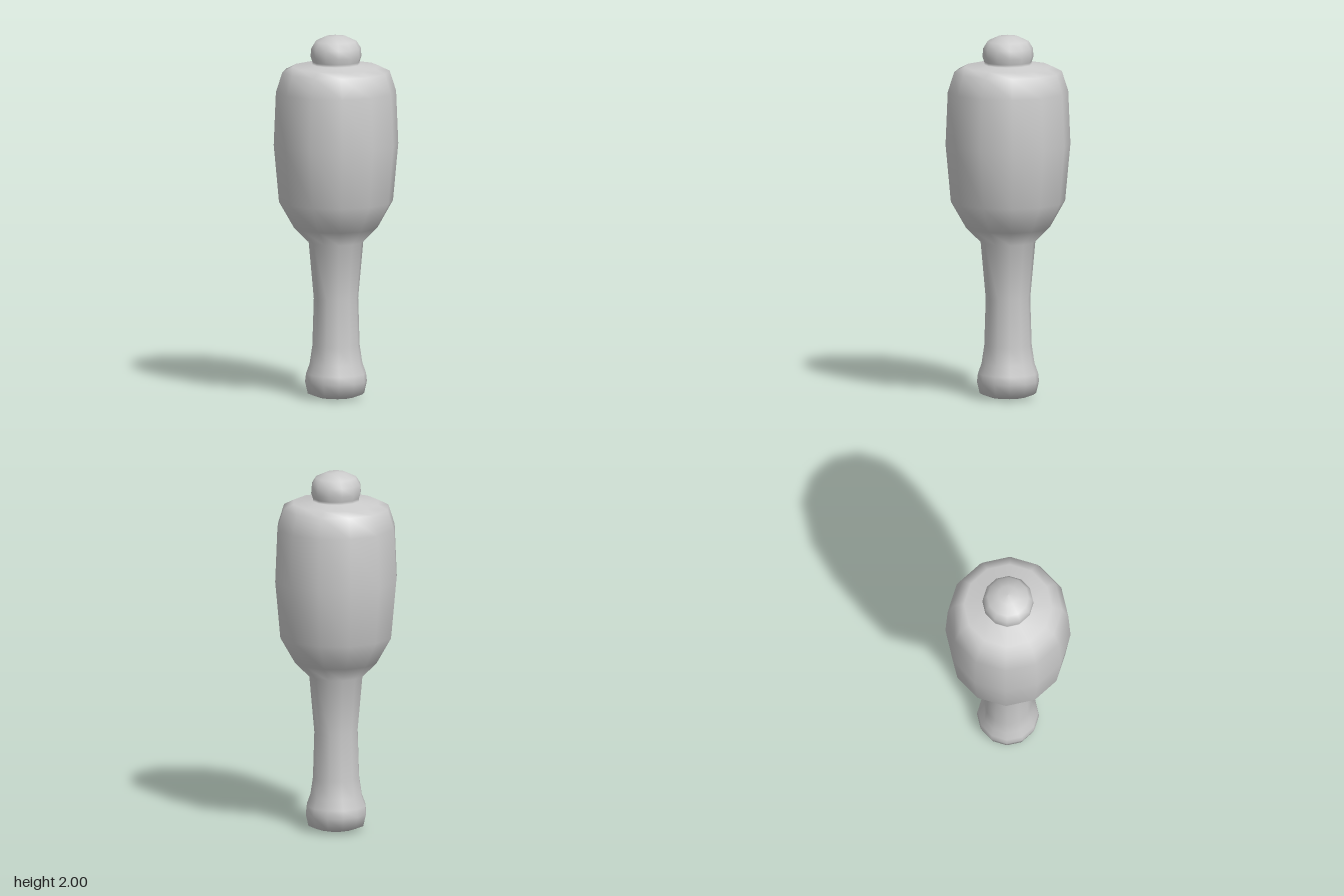
import * as THREE from 'three';

const SIDES = 12;

// Radius and height, from the butt of the handle to the tip of the knob
const HANDLE = [
  [0, 0], [0.1, 0.005], [0.155, 0.025], [0.17, 0.09], [0.165, 0.135],
  [0.145, 0.19], [0.13, 0.29], [0.122, 0.55], [0.15, 0.86],
];
const HEAD = [
  [0.23, 0.94], [0.313, 1.085], [0.342, 1.4], [0.33, 1.69],
  [0.295, 1.8], [0.24, 1.828], [0.13, 1.84],
];
const KNOB = [
  [0.13, 1.855], [0.14, 1.885], [0.136, 1.93], [0.113, 1.968], [0.055, 1.995], [0, 2],
];

export function createModel() {
  const group = new THREE.Group();
  group.name = 'mallet';
  const material = new THREE.MeshStandardMaterial({ color: 0xcccccc });

  // One turned body, so that shading flows smoothly across the joints
  const profile = [...HANDLE, ...HEAD, ...KNOB].map(([r, y]) => new THREE.Vector2(r, y));
  const body = new THREE.LatheGeometry(profile, SIDES);
  const bands = profile.length - 1;
  const index = Array.from(body.index.array);

  // A part takes the bands of the body between two profile points
  const addPart = (name, from, to) => {
    const faces = [];
    for (let s = 0; s < SIDES; s++) {
      faces.push(...index.slice((s * bands + from) * 6, (s * bands + to) * 6));
    }
    const mesh = new THREE.Mesh(body.clone().setIndex(faces), material);
    mesh.name = name;
    group.add(mesh);
  };

  const neck = HANDLE.length - 1;
  const crown = neck + HEAD.length;
  addPart('handle', 0, neck);
  addPart('head', neck, crown);
  addPart('knob', crown, bands);

  return group;
}
